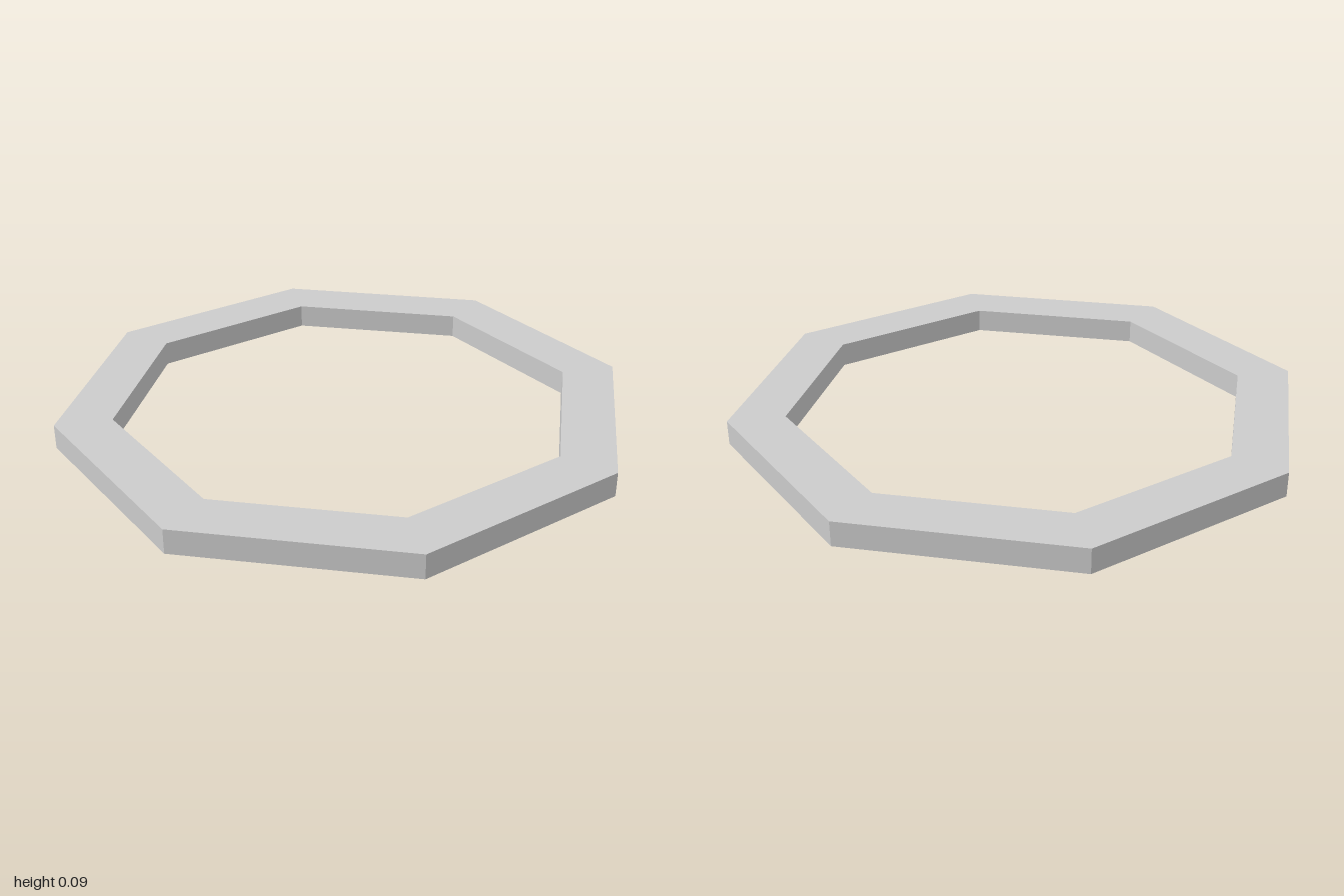
import * as THREE from 'three';

const SIDES = 8;
const OUTER_RADIUS = 1;
const INNER_RADIUS = 0.806;
const HEIGHT = 0.085;

// Corners of a regular octagon with points on both axes
function octagon(radius) {
  return Array.from({ length: SIDES }, (_, i) => {
    const a = (i / SIDES) * Math.PI * 2;
    return new THREE.Vector2(Math.cos(a) * radius, Math.sin(a) * radius);
  });
}

export function createModel() {
  const group = new THREE.Group();
  group.name = 'octagonalRing';

  // Flat ring: octagon with an octagonal hole, extruded upward
  const shape = new THREE.Shape(octagon(OUTER_RADIUS));
  shape.holes.push(new THREE.Path(octagon(INNER_RADIUS).reverse()));
  const geometry = new THREE.ExtrudeGeometry(shape, { depth: HEIGHT, bevelEnabled: false });
  geometry.rotateX(-Math.PI / 2);

  const material = new THREE.MeshStandardMaterial({ color: 0xcccccc, flatShading: true });
  const ring = new THREE.Mesh(geometry, material);
  ring.name = 'ring';
  group.add(ring);

  return group;
}
